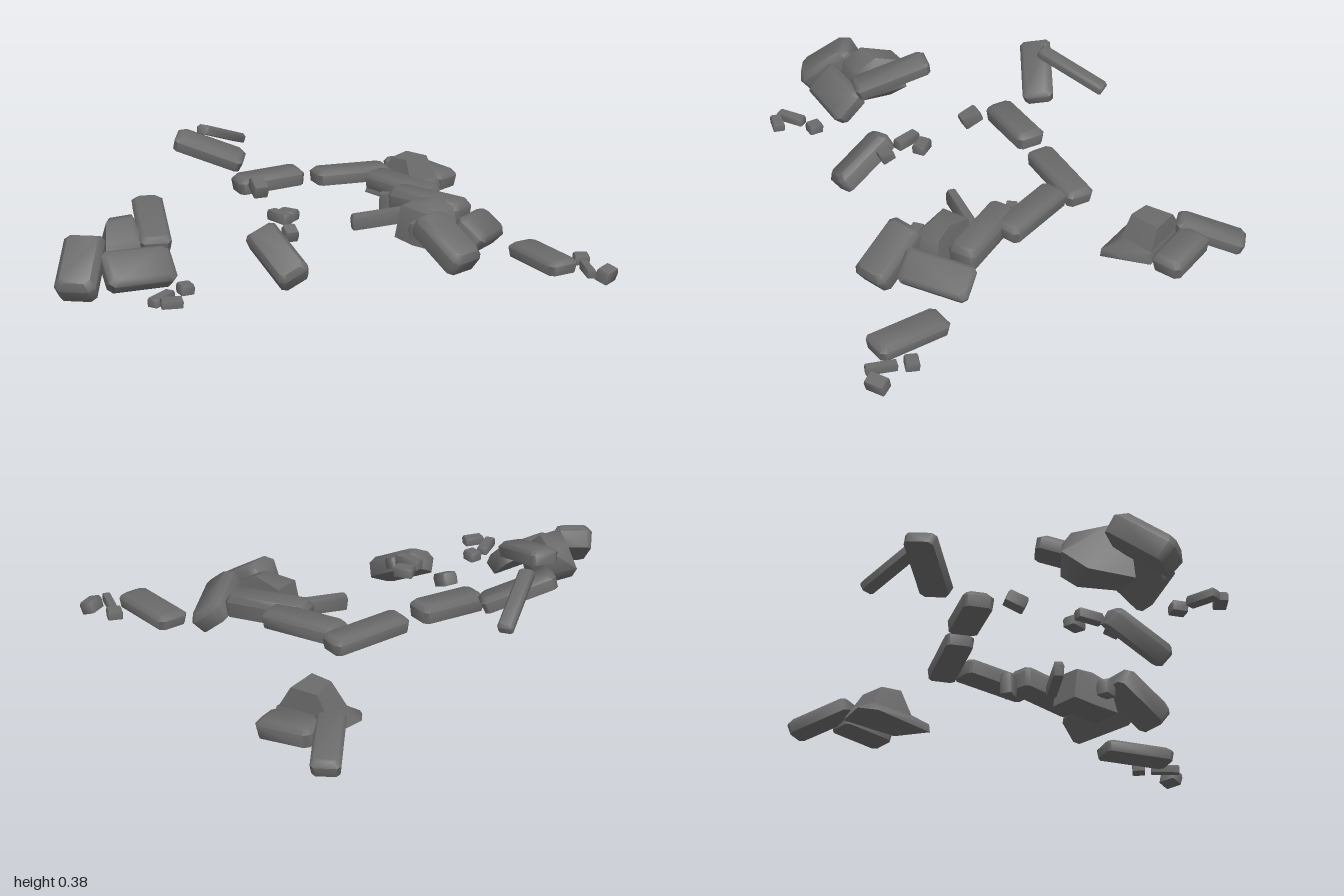
import * as THREE from 'three';
import { toCreasedNormals } from 'three/addons/utils/BufferGeometryUtils.js';
import { ConvexGeometry } from 'three/addons/geometries/ConvexGeometry.js';

const V = (p) => new THREE.Vector3(...p);

export function createModel() {
  const group = new THREE.Group();
  group.name = 'scatteredStones';
  const stone = new THREE.MeshStandardMaterial({ color: 0x6b6b6b });
  stone.name = 'greyStone';

  const addHull = (name, points) => {
    const mesh = new THREE.Mesh(toCreasedNormals(new ConvexGeometry(points), 0.95), stone);
    mesh.name = name;
    group.add(mesh);
  };

  // Chamfered stone running from a to b, with width w, thickness t and a face leaning to up
  const slab = (name, a, b, w, t, up = [0, 1, 0], chamfer = 0.13) => {
    const start = V(a), end = V(b);
    const along = end.clone().sub(start);
    const half = along.length() / 2;
    along.normalize();
    const across = V(up).cross(along).normalize();
    const normal = along.clone().cross(across);
    const centre = start.add(end).multiplyScalar(0.5);
    const cut = Math.min(w, half * 2) * chamfer;
    const points = [];
    // Outline at bottom, upper middle and top
    for (const [h, inset] of [[-0.5, 0.3], [0.2, 0], [0.5, 1]]) {
      const L = half - inset * cut, W = w / 2 - inset * cut;
      for (const sx of [-1, 1]) for (const sz of [-1, 1]) {
        for (const [l, k] of [[L, W - cut], [L - cut, W]]) {
          points.push(centre.clone()
            .addScaledVector(along, sx * l)
            .addScaledVector(across, sz * k)
            .addScaledVector(normal, h * t));
        }
      }
    }
    addHull(name, points);
  };

  // Small broken block, turned about the vertical and tipped a little
  const chip = (name, x, y, z, l, w, t, turn, tip = 0) => {
    const c = Math.cos(turn) * l / 2, s = -Math.sin(turn) * l / 2;
    slab(name, [x - c, y - tip, z - s], [x + c, y + tip, z + s], w, t, [0, 1, 0], 0.07);
  };

  // Rear cluster, with a boulder that flares out at its foot
  slab('rearLongStone', [-0.56, 0.05, -0.975], [-0.45, 0.115, -0.755], 0.1, 0.055);
  slab('rearFlatStone', [-0.45, 0.09, -0.84], [-0.24, 0.07, -0.835], 0.12, 0.065);
  addHull('rearBoulderFoot', [
    [-0.46, 0.04, -0.58], [-0.22, 0.02, -0.585], [-0.455, 0.055, -0.585], [-0.225, 0.05, -0.585],
    [-0.5, 0.06, -0.65], [-0.22, 0.05, -0.68], [-0.47, 0.06, -0.78], [-0.24, 0.06, -0.78],
    [-0.45, 0.11, -0.77], [-0.25, 0.1, -0.77], [-0.43, 0.1, -0.65], [-0.27, 0.1, -0.65],
  ].map(V));
  addHull('rearBoulderTop', [
    [-0.45, 0.1, -0.77], [-0.25, 0.09, -0.77], [-0.44, 0.09, -0.64], [-0.27, 0.09, -0.635],
    [-0.4, 0.178, -0.765], [-0.3, 0.178, -0.765], [-0.39, 0.178, -0.66], [-0.31, 0.182, -0.65],
  ].map(V));

  // Chain of stones across the middle
  slab('chainStoneLeft', [-0.265, 0.195, -0.47], [-0.39, 0.21, -0.195], 0.105, 0.055);
  slab('chainStoneMiddle', [-0.25, 0.195, -0.37], [0.05, 0.185, -0.355], 0.11, 0.06);
  slab('chainStoneRight', [-0.065, 0.18, -0.275], [0.24, 0.17, -0.305], 0.11, 0.08);
  slab('outerStone', [-0.42, 0.225, -0.15], [-0.53, 0.215, 0.085], 0.11, 0.06);
  slab('raisedStone', [-0.81, 0.35, 0.11], [-0.61, 0.26, -0.045], 0.115, 0.055, [0, 1, 0.2]);
  slab('raisedRod', [-0.79, 0.28, -0.22], [-0.74, 0.38, 0.04], 0.055, 0.035);
  chip('hangingChip', -0.1, 0.14, -0.28, 0.06, 0.045, 0.08, 0.5);
  chip('looseChip', -0.39, 0.24, 0.11, 0.07, 0.055, 0.045, -0.5, -0.015);

  // Cluster right of the middle
  addHull('centreBoulder', [
    [0.07, 0.09, -0.23], [0.07, 0.09, -0.11], [0.09, 0.215, -0.23], [0.09, 0.21, -0.12],
    [0.19, 0.24, -0.22], [0.19, 0.235, -0.15], [0.25, 0.21, -0.22], [0.25, 0.2, -0.12],
    [0.28, 0.08, -0.23], [0.27, 0.08, -0.1], [0.16, 0.08, -0.1],
  ].map(V));
  slab('tiltedStone', [0.285, 0.115, -0.39], [0.37, 0.155, -0.15], 0.13, 0.075, [0.8, 1, 0]);
  slab('leaningStone', [0.235, 0.205, -0.08], [0.44, 0.08, -0.06], 0.14, 0.085);
  slab('thinRod', [-0.07, 0.135, -0.035], [0.06, 0.15, -0.23], 0.04, 0.055);
  chip('wedgeChip', 0.2, 0.15, -0.085, 0.06, 0.05, 0.055, 0.3);

  // Far right stones
  slab('flatStoneRight', [0.435, 0.067, -0.375], [0.7, 0.068, -0.28], 0.12, 0.05);
  chip('rightChipBack', 0.67, 0.06, -0.42, 0.055, 0.05, 0.035, 0.8);
  chip('rightChipThin', 0.745, 0.055, -0.35, 0.11, 0.03, 0.03, -0.7);
  chip('rightChipEnd', 0.805, 0.043, -0.38, 0.05, 0.075, 0.045, 0.1, -0.008);

  // Front middle stones
  slab('frontLeaningStone', [-0.175, 0.175, 0.345], [0.045, 0.06, 0.395], 0.12, 0.075, [0, 1, 0.5]);
  chip('frontChipBack', -0.185, 0.195, 0.18, 0.07, 0.05, 0.035, 0.2);
  chip('frontChipFlat', -0.17, 0.205, 0.24, 0.1, 0.04, 0.035, -0.15);
  chip('frontChipNear', -0.09, 0.17, 0.275, 0.05, 0.05, 0.04, -0.5, -0.01);

  // Front left cluster
  slab('clusterTopStone', [-0.605, 0.235, 0.47], [-0.375, 0.155, 0.65], 0.11, 0.055);
  addHull('clusterBoulder', [
    [-0.55, 0.12, 0.53], [-0.54, 0.06, 0.6], [-0.65, 0.13, 0.65], [-0.6, 0.06, 0.72],
    [-0.47, 0.04, 0.8], [-0.42, 0.05, 0.69], [-0.41, 0.14, 0.66], [-0.58, 0.21, 0.57],
    [-0.61, 0.21, 0.65], [-0.5, 0.235, 0.64], [-0.53, 0.23, 0.74], [-0.44, 0.18, 0.69],
    [-0.48, 0.17, 0.79],
  ].map(V));
  slab('clusterSideStone', [-0.325, 0.095, 0.625], [-0.425, 0.105, 0.855], 0.145, 0.07, [1, 1, 0]);
  slab('clusterFrontStone', [-0.56, 0.185, 0.805], [-0.455, 0.045, 0.965], 0.145, 0.09);
  chip('clusterChipBack', -0.19, 0.06, 0.7, 0.055, 0.05, 0.035, -0.4);
  chip('clusterChipLeft', -0.19, 0.055, 0.815, 0.11, 0.04, 0.03, -1.4);
  chip('clusterChipRight', -0.125, 0.06, 0.83, 0.075, 0.045, 0.03, 0.9);

  return group;
}
